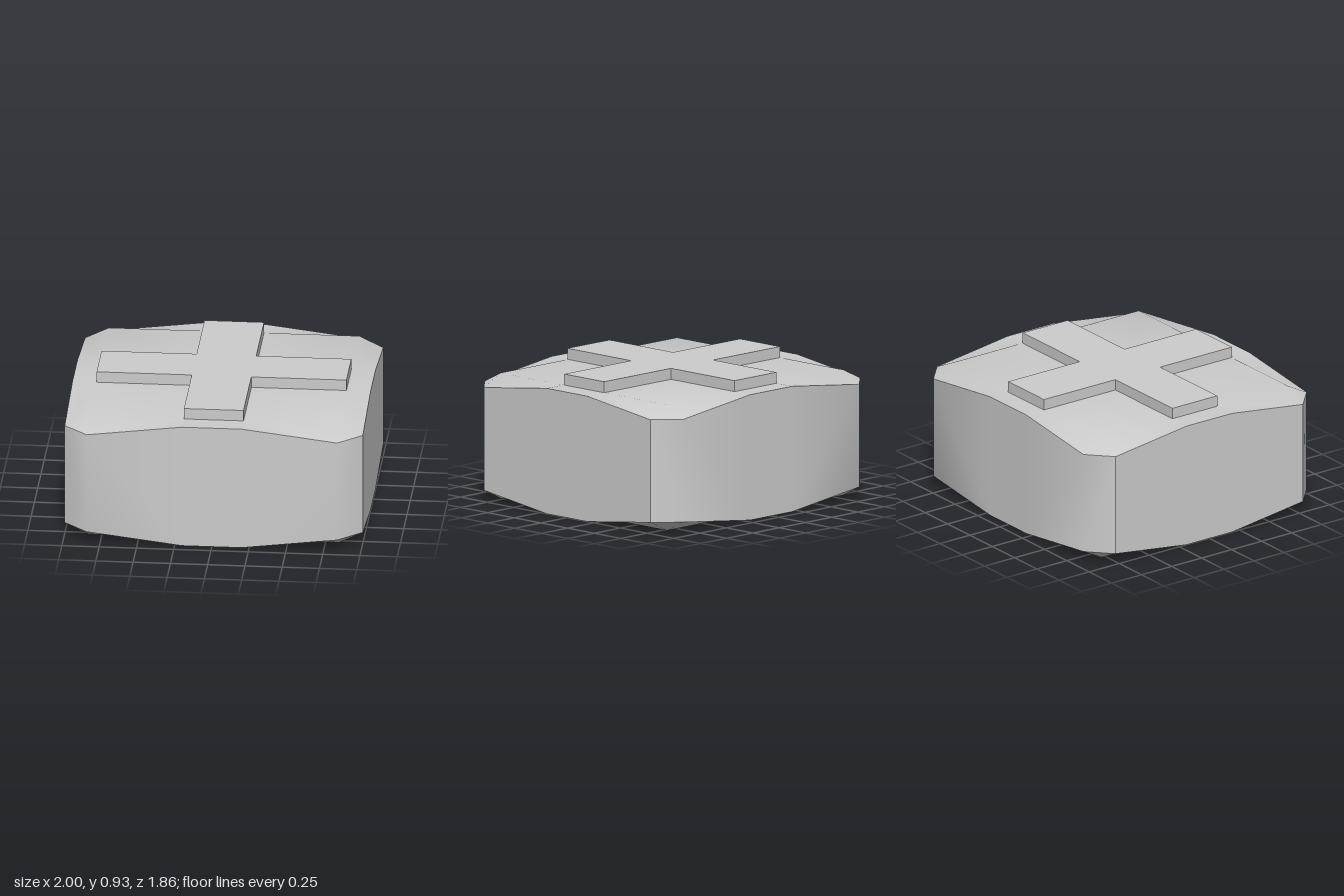
import * as THREE from 'three';
import { toCreasedNormals } from 'three/addons/utils/BufferGeometryUtils.js';

const MID = 0.4275, H = 0.4275, L = 0.35; // mid height, half heights at the middle and at the corners

// One quarter of the body, mirrored in x and z; the top is mirrored to make the underside
function bodyGeometry() {
  const O = [0, H, 0], C = [0.2, H, 0.19], A = [0.84, H, 0.19], B = [0.2, H, 0.78], D = [0.84, H, 0.78];
  const E = [1, H, 0.19], F = [0.2, H, 0.93];
  const P = [1, L, 0.78], Q = [0.84, L, 0.93];
  const midX = [1, H, 0], midZ = [0, H, 0.93];
  const top = [
    // flat middle
    [O, midZ, F, B, C, [0.2, H, 0]],
    [[0.2, H, 0], C, A, E, midX],
    [C, B, D, A],
    // rim falling to the corner
    [A, D, P], [A, P, E], [B, Q, D], [B, F, Q], [D, Q, P],
  ];
  // walls and corner chamfer, full height
  const low = ([x, y, z]) => [x, -y, z];
  const rim = [midZ, F, Q, P, E, midX];
  const walls = rim.slice(1).map((b, i) => [low(rim[i]), low(b), b, rim[i]]);

  const out = [];
  const add = (faces, sx, sy, sz) => {
    for (const f of faces) {
      for (let i = 1; i < f.length - 1; i++) {
        const tri = [f[0], f[i], f[i + 1]];
        if (sx * sy * sz < 0) tri.reverse();
        for (const [x, y, z] of tri) out.push(sx * x, MID + sy * y, sz * z);
      }
    }
  };
  for (const sx of [1, -1]) for (const sz of [1, -1]) {
    add(top, sx, 1, sz);
    add(top, sx, -1, sz);
    add(walls, sx, 1, sz);
  }
  const g = new THREE.BufferGeometry();
  g.setAttribute('position', new THREE.Float32BufferAttribute(out, 3));
  return toCreasedNormals(g, 0.8);
}

// Raised cross on the top
function crossGeometry() {
  const w = 0.2, d = 0.187, X = 0.838, Z = 0.783;
  const shape = new THREE.Shape([
    [w, d], [w, Z], [-w, Z], [-w, d], [-X, d], [-X, -d],
    [-w, -d], [-w, -Z], [w, -Z], [w, -d], [X, -d], [X, d],
  ].map(([x, y]) => new THREE.Vector2(x, y)));
  const g = new THREE.ExtrudeGeometry(shape, { depth: 0.085, bevelEnabled: false });
  return g.rotateX(-Math.PI / 2).translate(0, 0.845, 0);
}

export function createModel() {
  const group = new THREE.Group();
  const material = new THREE.MeshStandardMaterial({ color: 0xcccccc });
  const body = new THREE.Mesh(bodyGeometry(), material);
  body.name = 'body';
  const cross = new THREE.Mesh(crossGeometry(), material);
  cross.name = 'raisedCross';
  group.add(body, cross);
  return group;
}
